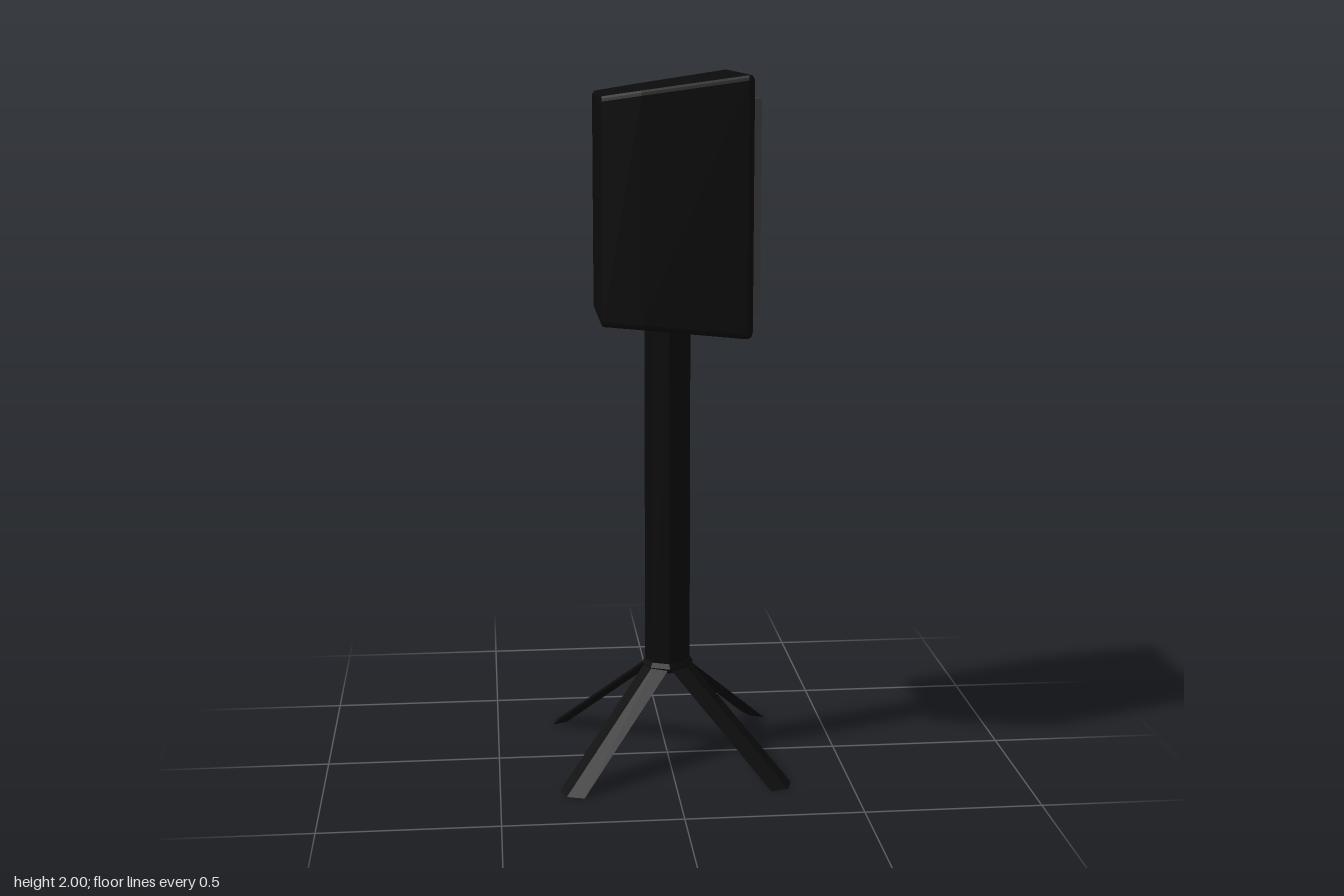
import * as THREE from 'three';

// Skin a list of rings (each a list of [x, y, z]) running along +x, with closed ends
function loft(rings) {
  const pos = [];
  const n = rings[0].length;
  const tri = (a, b, c) => pos.push(...a, ...b, ...c);
  for (let i = 0; i < rings.length - 1; i++) {
    for (let j = 0; j < n; j++) {
      const k = (j + 1) % n;
      const a = rings[i][j], b = rings[i + 1][j], c = rings[i + 1][k], d = rings[i][k];
      tri(a, b, c);
      tri(a, c, d);
    }
  }
  const first = rings[0], last = rings[rings.length - 1];
  for (let j = 1; j < n - 1; j++) {
    tri(first[0], first[j], first[j + 1]);
    tri(last[0], last[j + 1], last[j]);
  }
  const geo = new THREE.BufferGeometry();
  geo.setAttribute('position', new THREE.Float32BufferAttribute(pos, 3));
  geo.computeVertexNormals();
  return geo;
}

// Rectangle in the y-z plane with rounded corners
function rectRing(x, halfZ, y0, y1, r = 0, steps = 3) {
  const ring = [];
  const corners = [[1, y0 + r, -90], [1, y1 - r, 0], [-1, y1 - r, 90], [-1, y0 + r, 180]];
  for (const [side, cy, start] of corners) {
    const count = r > 0 ? steps : 0;
    for (let s = 0; s <= count; s++) {
      const a = THREE.MathUtils.degToRad(start + (count ? (90 * s) / count : 0));
      ring.push([x, cy + r * Math.sin(a), side * (halfZ - r) + r * Math.cos(a)]);
    }
  }
  return r > 0 ? ring : ring.map(([px, py], i) => [px, py, i < 2 ? halfZ : -halfZ]);
}

export function createModel() {
  const group = new THREE.Group();
  const black = new THREE.MeshStandardMaterial({ color: 0x0b0b0b });
  black.name = 'matte black';
  const grey = new THREE.MeshStandardMaterial({ color: 0x383838 });
  grey.name = 'grille grey';

  const add = (name, geo, mat, parent = group) => {
    const mesh = new THREE.Mesh(geo, mat);
    mesh.name = name;
    parent.add(mesh);
    return mesh;
  };

  // Cabinet, tapering towards the back: x, half width, bottom, top
  const cabinet = [
    [-0.2, 0.177, 1.322, 1.935],
    [-0.195, 0.185, 1.313, 1.943],
    [-0.09, 0.213, 1.307, 1.959],
    [0.195, 0.26, 1.285, 2.0],
    [0.206, 0.257, 1.288, 1.997],
    [0.211, 0.249, 1.296, 1.989],
  ];
  add('cabinet', loft(cabinet.map(([x, h, b, t]) => rectRing(x, h, b, t, 0.016))), black);

  // Grille with a narrow rim and a bevel down to a recessed panel: x, inset
  const grille = [[0.205, 0], [0.235, 0], [0.235, 0.01], [0.222, 0.05]];
  add('grille', loft(grille.map(([x, i]) => rectRing(x, 0.215 - i, 1.35 + i, 1.935 - i))), grey);

  // Pole and the collar at its foot
  const pole = new THREE.CylinderGeometry(0.066, 0.066, 1.05, 8).toNonIndexed();
  pole.computeVertexNormals();
  add('pole', pole, black).position.y = 0.8;
  const collar = new THREE.TorusGeometry(0.06, 0.016, 6, 8).rotateX(Math.PI / 2).toNonIndexed();
  collar.computeVertexNormals();
  add('collar', collar, black).position.y = 0.284;

  // Four flat splayed legs with a low ridge, cut level at the floor
  const slope = 0.76, half = 0.046, reach = 0.421, start = 0.03;
  const ridge = [[0, half], [0.018, 0], [0, -half], [-0.012, 0]];
  const legGeo = loft([
    ridge.map(([up, z]) => [start, slope * (reach - start) + up, z]),
    ridge.map(([up, z]) => [reach + up / slope, 0, z]),
  ]);
  const legs = new THREE.Group();
  legs.name = 'legs';
  group.add(legs);
  for (let i = 0; i < 4; i++) {
    add('leg', legGeo, black, legs).rotation.y = Math.PI / 4 + (i * Math.PI) / 2;
  }

  return group;
}
